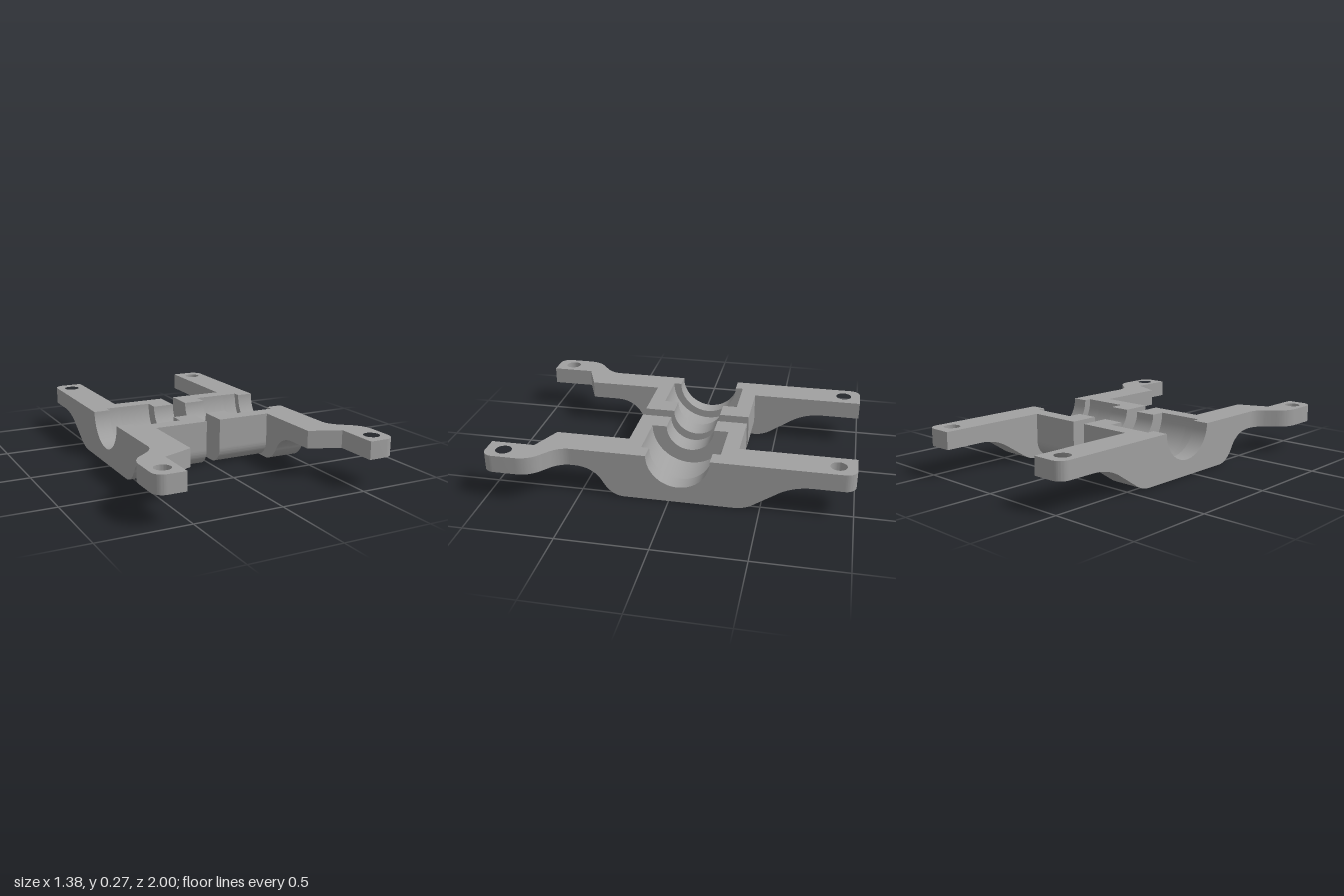
import * as THREE from 'three';
import { toCreasedNormals } from 'three/addons/utils/BufferGeometryUtils.js';

const TOP = 0.268, PLATE = 0.168; // top face, underside of the thin feet
const GROOVE_Z = -0.05;           // axis of the bearing saddle

const grey = new THREE.MeshStandardMaterial({ color: 0xa0a0a0 });
grey.name = 'grey';

function extrude(shape, depth) {
  return new THREE.ExtrudeGeometry(shape, { depth, bevelEnabled: false, curveSegments: 20 });
}

function addMesh(group, geometry, name) {
  const mesh = new THREE.Mesh(toCreasedNormals(geometry, 0.5), grey);
  mesh.name = name;
  group.add(mesh);
}

// Finishes a (z, y) profile along the top with a half-round groove
function closeWithGroove(shape, r) {
  shape.lineTo(GROOVE_Z + r, TOP);
  shape.absarc(GROOVE_Z, TOP, r, 0, -Math.PI, true);
  shape.closePath();
  return shape;
}

// Long arm: thick in the middle, sweeping up to the thin ends
function armProfile(r) {
  const s = new THREE.Shape();
  s.moveTo(-0.78, TOP);
  s.lineTo(-0.78, PLATE);
  s.quadraticCurveTo(-0.68, PLATE, -0.6, 0.12);
  s.lineTo(-0.47, 0.035);
  s.quadraticCurveTo(-0.42, 0, -0.36, 0);
  s.lineTo(0.25, 0);
  s.quadraticCurveTo(0.325, 0, 0.37, 0.08);
  s.quadraticCurveTo(0.42, PLATE, 0.53, PLATE);
  s.lineTo(0.53, TOP);
  return closeWithGroove(s, r);
}

// Inner block with rounded lower edges
function blockProfile(r) {
  const s = new THREE.Shape(), f = 0.1, back = -0.36, front = 0.26;
  s.moveTo(back, TOP);
  s.lineTo(back, f);
  s.absarc(back + f, f, f, Math.PI, Math.PI * 1.5, false);
  s.lineTo(front - f, 0);
  s.absarc(front - f, f, f, -Math.PI / 2, 0, false);
  s.lineTo(front, TOP);
  return closeWithGroove(s, r);
}

// Extrudes a (z, y) profile between two distances from the centre plane
function addSlab(group, side, profile, xIn, xOut, name) {
  const g = extrude(profile, xOut - xIn);
  g.rotateY(-Math.PI / 2);
  g.translate(side > 0 ? xOut : -xIn, 0, 0);
  addMesh(group, g, name);
}

// Extrudes an (x, z) outline with a screw hole into a thin foot
function addFoot(group, side, shape, holeX, holeZ, name) {
  const hole = new THREE.Path();
  hole.absarc(side * holeX, holeZ, 0.045, 0, Math.PI * 2, true);
  shape.holes.push(hole);
  const g = extrude(shape, TOP - PLATE);
  g.rotateX(Math.PI / 2);
  g.translate(0, TOP, 0);
  addMesh(group, g, name);
}

function rearFoot(k) {
  const s = new THREE.Shape();
  s.moveTo(k * 0.355, -0.78);
  s.lineTo(k * 0.355, -1);
  s.lineTo(k * 0.475, -1);
  s.bezierCurveTo(k * 0.508, -1, k * 0.535, -0.973, k * 0.535, -0.94);
  s.lineTo(k * 0.535, -0.78);
  s.closePath();
  return s;
}

// Front foot steps outward in an S-bend
function frontFoot(k) {
  const s = new THREE.Shape();
  s.moveTo(k * 0.355, 0.53);
  s.lineTo(k * 0.355, 0.682);
  s.lineTo(k * 0.53, 0.755);
  s.lineTo(k * 0.53, 1);
  s.lineTo(k * 0.632, 1);
  s.bezierCurveTo(k * 0.665, 1, k * 0.692, 0.973, k * 0.692, 0.94);
  s.lineTo(k * 0.692, 0.81);
  s.quadraticCurveTo(k * 0.692, 0.735, k * 0.635, 0.69);
  s.lineTo(k * 0.585, 0.65);
  s.quadraticCurveTo(k * 0.535, 0.605, k * 0.535, 0.55);
  s.lineTo(k * 0.535, 0.53);
  s.closePath();
  return s;
}

export function createModel() {
  const model = new THREE.Group();
  model.name = 'bearingBracketPair';
  for (const side of [1, -1]) {
    const half = new THREE.Group();
    half.name = side > 0 ? 'leftBracket' : 'rightBracket';
    addSlab(half, side, blockProfile(0.138), 0.042, 0.168, 'innerLip');
    addSlab(half, side, blockProfile(0.221), 0.168, 0.355, 'saddleBlock');
    addSlab(half, side, armProfile(0.221), 0.355, 0.44, 'armInner');
    addSlab(half, side, armProfile(0.176), 0.44, 0.535, 'armOuter');
    addFoot(half, side, rearFoot(side), 0.447, -0.9, 'rearFoot');
    addFoot(half, side, frontFoot(side), 0.612, 0.9, 'frontFoot');
    model.add(half);
  }
  return model;
}
